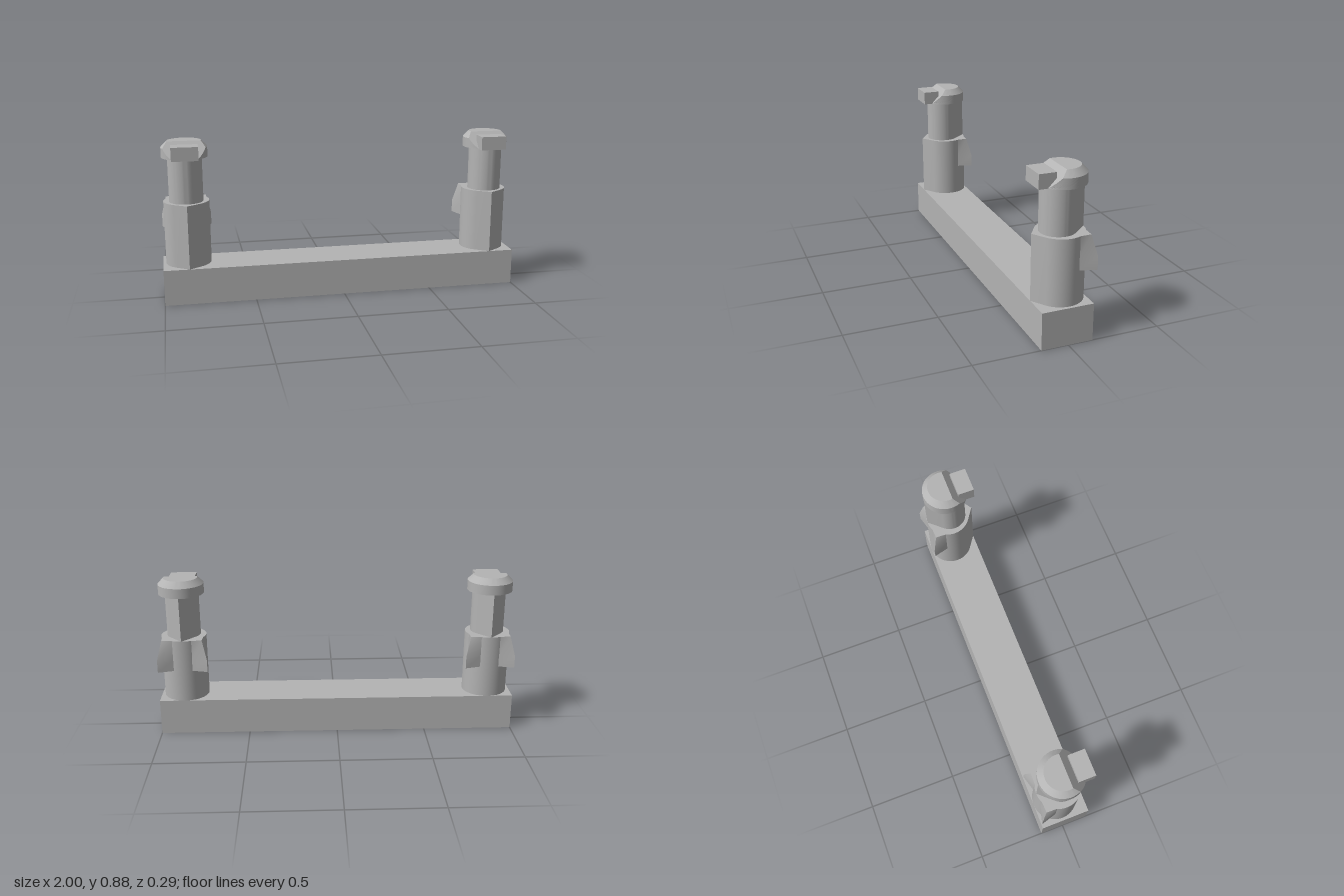
import * as THREE from 'three';
import { toCreasedNormals } from 'three/addons/utils/BufferGeometryUtils.js';

const grey = new THREE.MeshStandardMaterial({ color: 0xb4b4b4 });
grey.name = 'plain grey';

// Skin a stack of convex [x, z] loops (counterclockwise from above) and cap both ends.
function loft(levels) {
  const n = levels[0].loop.length;
  const positions = levels.flatMap(({ y, loop }) => loop.flatMap(([x, z]) => [x, y, z]));
  const index = [];
  for (let k = 0; k < levels.length - 1; k++) {
    for (let i = 0; i < n; i++) {
      const a = k * n + i, b = k * n + (i + 1) % n;
      index.push(a, b, b + n, a, b + n, a + n);
    }
  }
  const top = (levels.length - 1) * n;
  for (let i = 1; i < n - 1; i++) {
    index.push(0, i + 1, i, top, top + i, top + i + 1);
  }
  const geometry = new THREE.BufferGeometry();
  geometry.setAttribute('position', new THREE.Float32BufferAttribute(positions, 3));
  geometry.setIndex(index);
  return toCreasedNormals(geometry, 0.4);
}

// Arc around y that leaves a gap of the given half angle at +z.
function arc(radius, gap, segments = 48) {
  return Array.from({ length: segments + 1 }, (_, i) => {
    const a = gap + (2 * Math.PI - 2 * gap) * i / segments;
    return [radius * Math.sin(a), radius * Math.cos(a)];
  });
}

// Circle drawn out to a sharp ridge at +z.
function teardrop(radius, tip, y0, y1) {
  const loop = [[0, tip], ...arc(radius, Math.acos(radius / tip))];
  return loft([{ y: y0, loop }, { y: y1, loop }]);
}

function part(name, geometry, parent, x = 0, y = 0, z = 0, turn = 0) {
  const mesh = new THREE.Mesh(geometry, grey);
  mesh.name = name;
  mesh.position.set(x, y, z);
  mesh.rotation.y = turn;
  parent.add(mesh);
  return mesh;
}

// Chamfered disc with its front sliced off by a sloping plane.
function headGeometry() {
  const bottom = 0.797, shoulder = 0.852, top = 0.885;
  const ys = [0, 0.25, 0.5, 0.75, 1].map(t => bottom + (shoulder - bottom) * t);
  ys.push((shoulder + top) / 2, top);
  return loft(ys.map(y => {
    const radius = 0.125 - 0.032 * Math.max(0, (y - shoulder) / (top - shoulder));
    const cut = 0.104 - 0.085 * (y - bottom) / (top - bottom);
    return { y, loop: arc(radius, Math.acos(cut / radius)) };
  }));
}

// Wedge-shaped catch whose outer ridge leans in towards the top.
function finGeometry() {
  return loft([[0.376, 0.194], [0.445, 0.194], [0.553, 0.157]].map(([y, tip]) => ({
    y, loop: [[0, tip], [0.045, 0.115], [0.02, 0.05], [-0.02, 0.05], [-0.045, 0.115]],
  })));
}

export function createModel() {
  const model = new THREE.Group();
  model.name = 'twin post bracket';

  part('base', new THREE.BoxGeometry(2, 0.2, 0.276), model, 0, 0.1, 0.006);

  const body = teardrop(0.125, 0.151, 0.2, 0.553);
  const shaft = teardrop(0.093, 0.139, 0.553, 0.797);
  const head = headGeometry();
  const fin = finGeometry();
  const block = new THREE.BoxGeometry(0.144, 0.075, 0.092);

  for (const side of [-1, 1]) {
    const post = new THREE.Group();
    post.name = side > 0 ? 'leftPost' : 'rightPost';
    post.position.set(side * 0.859, 0, -0.007);
    model.add(post);
    part('lowerBody', body, post);
    part('shaft', shaft, post, 0, 0, 0.014, Math.PI);
    part('head', head, post);
    part('frontBlock', block, post, 0, 0.8345, 0.105);
    for (const s of [-1, 1]) part('fin', fin, post, 0, 0, 0, s * Math.PI * 0.75);
  }
  return model;
}
